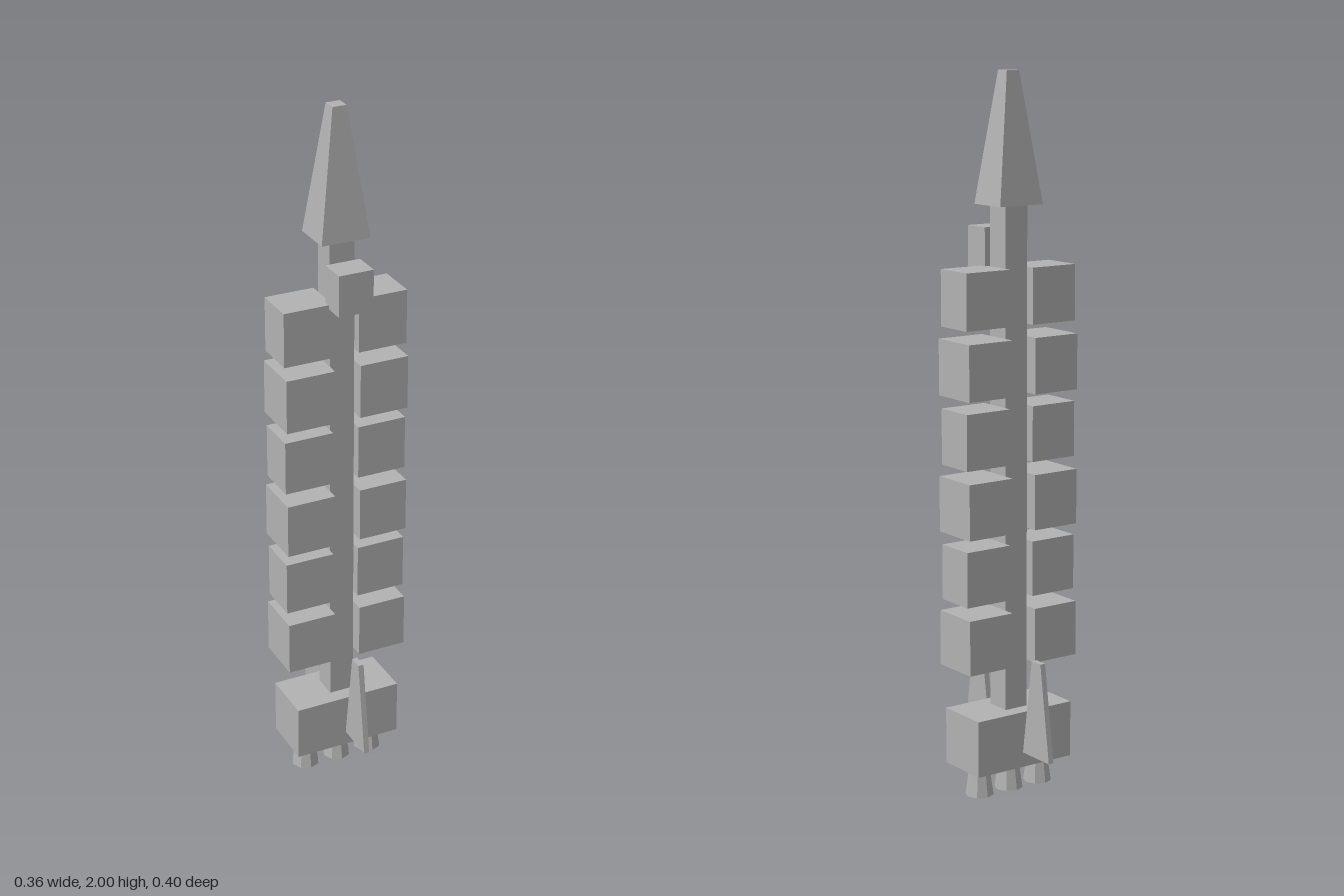
import * as THREE from 'three';

export function createModel() {
  const model = new THREE.Group();
  const grey = new THREE.MeshStandardMaterial({ color: 0xb2b2b2 });
  grey.name = 'hull grey';
  grey.flatShading = true;

  function add(name, geometry, x, y, z) {
    const mesh = new THREE.Mesh(geometry, grey);
    mesh.name = name;
    mesh.position.set(x, y, z);
    model.add(mesh);
    return mesh;
  }

  // Box given by its size, base height and centre
  function box(name, w, h, d, x, bottom, z) {
    return add(name, new THREE.BoxGeometry(w, h, d), x, bottom + h / 2, z);
  }

  // Box whose top face is narrowed to the given width and depth
  function taperedBox(name, w, h, d, topW, topD, x, bottom, z) {
    const mesh = box(name, w, h, d, x, bottom, z);
    const p = mesh.geometry.attributes.position;
    for (let i = 0; i < p.count; i++) {
      if (p.getY(i) > 0) {
        p.setX(i, Math.sign(p.getX(i)) * topW / 2);
        p.setZ(i, Math.sign(p.getZ(i)) * topD / 2);
      }
    }
    mesh.geometry.computeVertexNormals();
  }

  // Central spine and nose
  box('spine', 0.072, 1.41, 0.072, 0, 0.24, 0);
  taperedBox('nose', 0.14, 0.355, 0.12, 0.04, 0.04, 0, 1.645, 0);

  // Paired cargo modules, alternating in depth
  for (let row = 0; row < 6; row++) {
    const depth = row % 2 ? 0.12 : 0.144;
    for (const side of [-1, 1]) {
      box('cargoModule', 0.142, 0.155, depth, side * 0.109, 0.375 + row * 0.1894, 0);
    }
  }

  // Sensor box on the front of the spine
  box('sensorBox', 0.1, 0.117, 0.08, 0, 1.465, 0.08);

  // Engine block, with a fin on the front and back
  box('engineBlock', 0.316, 0.16, 0.158, 0, 0.082, 0);
  for (const side of [-1, 1]) {
    taperedBox('fin', 0.016, 0.275, 0.12, 0.016, 0.04, 0, 0.125, side * 0.14);
  }

  // Three flared nozzles
  for (const x of [-0.1, 0, 0.1]) {
    add('nozzle', new THREE.CylinderGeometry(0.028, 0.04, 0.084, 8), x, 0.042, 0);
  }
  return model;
}
